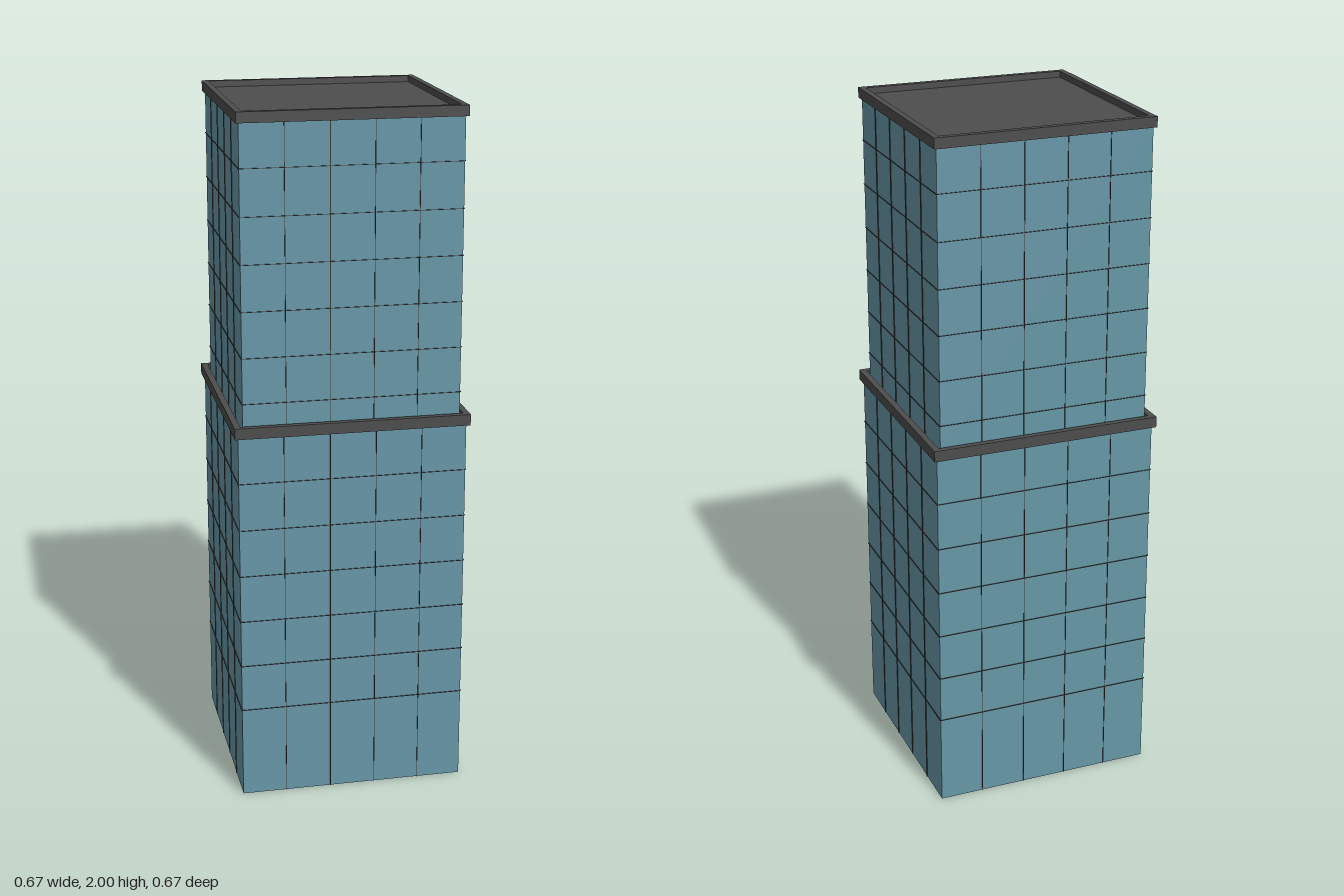
import * as THREE from 'three';

export function createModel() {
  const glass = new THREE.MeshStandardMaterial({ color: 0x6797a7, side: THREE.DoubleSide });
  glass.name = 'blueGlass';
  const roofGrey = new THREE.MeshStandardMaterial({ color: 0x4d4d4d });
  roofGrey.name = 'roofGrey';
  const seamDark = new THREE.MeshStandardMaterial({ color: 0x3a3432 });
  seamDark.name = 'seamDark';

  const model = new THREE.Group();
  model.name = 'officeTower';

  function add(parent, name, geometry, material, x = 0, y = 0, z = 0) {
    const mesh = new THREE.Mesh(geometry, material);
    mesh.name = name;
    mesh.position.set(x, y, z);
    parent.add(mesh);
    return mesh;
  }

  // One block of the tower: four thin walls, open below, with fine glazing seams
  function addBlock(name, half, y0, y1, columns, rows) {
    const block = new THREE.Group();
    block.name = name;
    const height = y1 - y0;
    const mid = (y0 + y1) / 2;
    for (let side = 0; side < 4; side++) {
      const facade = new THREE.Group();
      facade.name = 'facade';
      facade.rotation.y = side * Math.PI / 2;
      add(facade, 'glassWall', new THREE.PlaneGeometry(half * 2, height), glass, 0, mid, half);
      for (const x of columns) {
        add(facade, 'verticalSeam', new THREE.BoxGeometry(0.0015, height, 0.005), seamDark, x, mid, half);
      }
      for (const y of rows) {
        add(facade, 'floorSeam', new THREE.BoxGeometry(half * 2, 0.0015, 0.005), seamDark, 0, y, half);
      }
      block.add(facade);
    }
    model.add(block);
  }

  // Square parapet ring around a slightly sunken roof deck
  function addRoof(name, outer, inner, y0, y1) {
    const roof = new THREE.Group();
    roof.name = name;
    const square = (r) => [[-r, -r], [r, -r], [r, r], [-r, r]].map(([x, y]) => new THREE.Vector2(x, y));
    const shape = new THREE.Shape(square(outer));
    shape.holes.push(new THREE.Path(square(inner).reverse()));
    const ring = new THREE.ExtrudeGeometry(shape, { depth: y1 - y0, bevelEnabled: false });
    ring.rotateX(-Math.PI / 2);
    add(roof, 'parapet', ring, roofGrey, 0, y0, 0);
    add(roof, 'roofDeck', new THREE.BoxGeometry(inner * 2, 0.012, inner * 2), roofGrey, 0, y0 + 0.006, 0);
    model.add(roof);
  }

  const steps = (start, step, count) => Array.from({ length: count }, (_, i) => start + i * step);

  addBlock('lowerBlock', 0.327, 0, 1.1, steps(-0.198, 0.132, 4), steps(0.27, 0.139, 6));
  addRoof('lowerRoof', 0.337, 0.319, 1.1, 1.132);
  addBlock('upperBlock', 0.311, 1.11, 1.975, steps(-0.188, 0.125, 4), steps(1.193, 0.131, 6));
  addRoof('upperRoof', 0.319, 0.301, 1.97, 2);

  return model;
}
